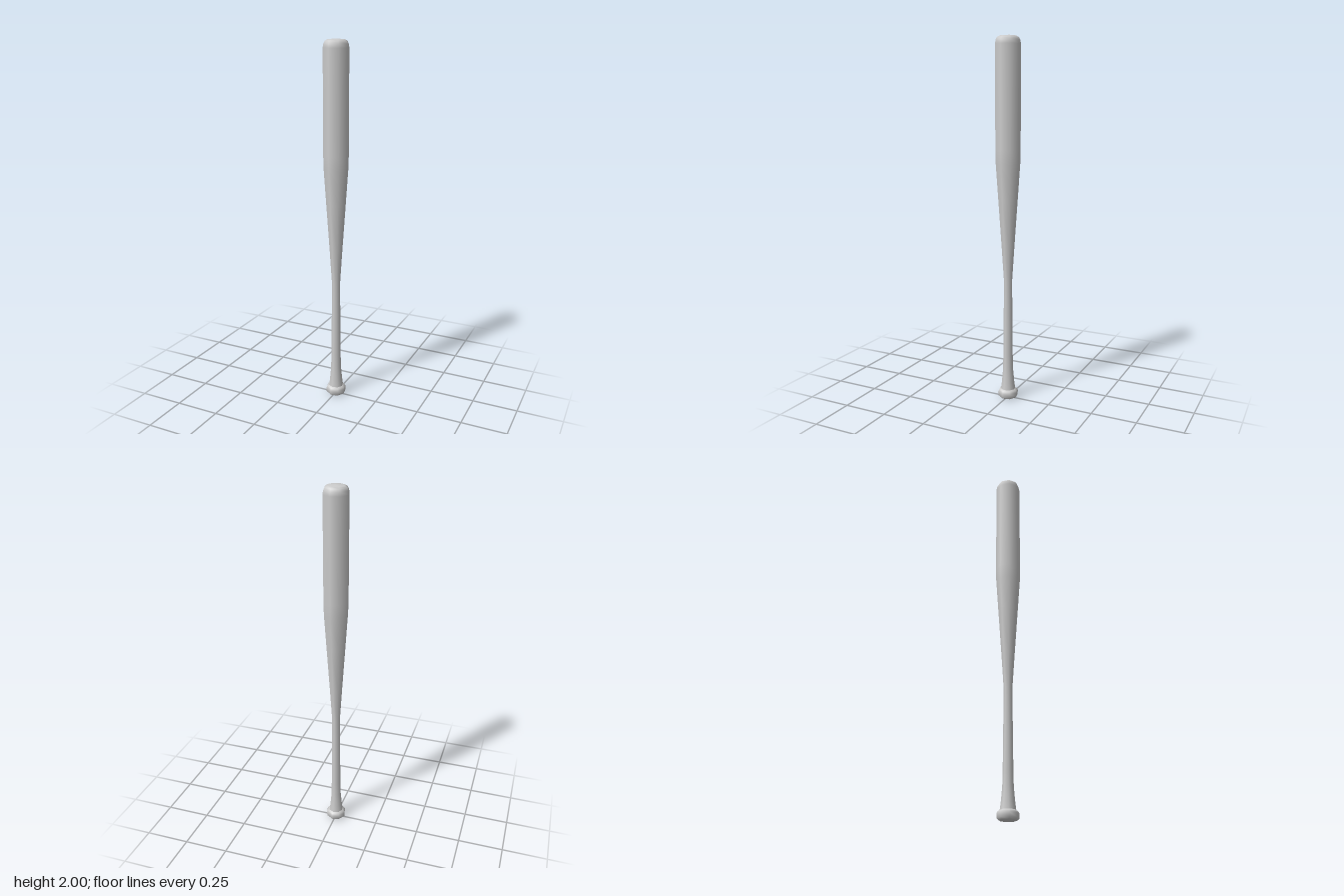
import * as THREE from 'three';

const SIDES = 8;
const TURN = THREE.MathUtils.degToRad(36.5);

// Eight-sided smooth-shaded turning from [radius, height] pairs, bottom to top
function turned(name, profile, material) {
  const points = profile.map(([r, y]) => new THREE.Vector2(r, y));
  const mesh = new THREE.Mesh(new THREE.LatheGeometry(points, SIDES, TURN), material);
  mesh.name = name;
  return mesh;
}

export function createModel() {
  const group = new THREE.Group();
  group.name = 'bat';
  const material = new THREE.MeshStandardMaterial({ color: 0xcccccc });

  // Rounded knob with a shallow dimple underneath
  group.add(turned('knob', [
    [0, 0.012], [0.022, 0.01], [0.032, 0], [0.046, 0.002], [0.056, 0.012],
    [0.057, 0.034], [0.051, 0.046], [0.041, 0.052],
  ], material));

  // Flared grip, long taper and barrel with a domed end
  group.add(turned('handleAndBarrel', [
    [0.041, 0.052], [0.036, 0.09], [0.029, 0.165], [0.027, 0.25],
    [0.025, 0.45], [0.023, 0.68], [0.036, 0.88], [0.054, 1.14],
    [0.067, 1.33], [0.069, 1.4], [0.069, 1.955], [0.066, 1.975],
    [0.059, 1.989], [0.045, 1.997], [0, 2],
  ], material));

  return group;
}
